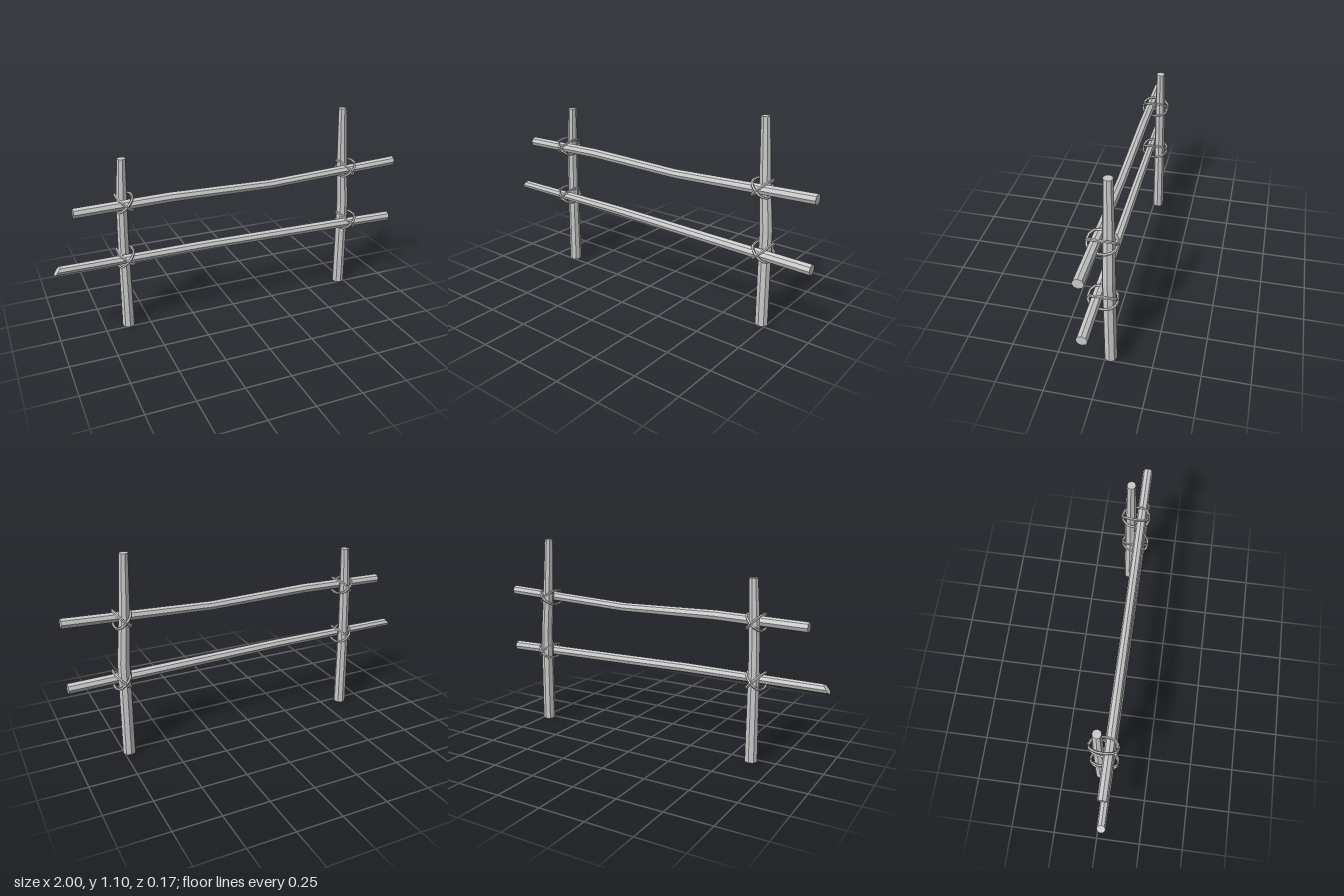
import * as THREE from 'three';

const SIDES = 8;
const wood = new THREE.MeshStandardMaterial({ color: 0xcccccc, flatShading: true, side: THREE.DoubleSide });

// A bent, tapering pole through sections [x, y, radius], either upright or lying along x.
// slant shears the first end of a lying pole into a sloping cut.
function pole(name, sections, z, upright, slant = 0) {
  const n = sections.length - 1;
  const geometry = new THREE.CylinderGeometry(1, 1, 1, SIDES, n);
  const pos = geometry.attributes.position;
  for (let i = 0; i < pos.count; i++) {
    const k = Math.round((pos.getY(i) + 0.5) * n);
    const [x, y, r] = sections[k];
    const a = pos.getX(i) * r;
    const b = pos.getZ(i) * r;
    if (upright) pos.setXYZ(i, x + a, y, z + b);
    else pos.setXYZ(i, x - (k === 0 ? a * slant : 0), y - a, z + b);
  }
  // Posts are open at the foot
  if (upright) geometry.setIndex([...geometry.index.array].slice(0, -3 * SIDES));
  geometry.computeVertexNormals();
  const mesh = new THREE.Mesh(geometry, wood);
  mesh.name = name;
  return mesh;
}

// Two diagonal rope loops crossing in front of the rail and behind the post
function lashing(name, x, y) {
  const group = new THREE.Group();
  group.name = name;
  const half = [[0.022, 0.075], [0.05, 0.052], [0.057, 0.015], [0.052, -0.035], [0.022, -0.069]];
  const outline = [...half, ...half.map(([u, z]) => [-u, z]).reverse()];
  for (const s of [1, -1]) {
    const points = outline.map(([u, z]) => new THREE.Vector3(u * Math.SQRT1_2, s * u * Math.SQRT1_2, z));
    const curve = new THREE.CatmullRomCurve3(points, true);
    const loop = new THREE.Mesh(new THREE.TubeGeometry(curve, 16, 0.007, 5, true), wood);
    loop.name = 'ropeLoop';
    group.add(loop);
  }
  group.position.set(x, y, 0);
  return group;
}

export function createModel() {
  const fence = new THREE.Group();
  fence.name = 'fence';

  // Posts
  fence.add(pole('rightPost', [
    [-0.62, 0, 0.035], [-0.618, 0.5, 0.031], [-0.612, 0.74, 0.03], [-0.6, 0.967, 0.024],
  ], -0.026, true));
  fence.add(pole('leftPost', [
    [0.722, 0, 0.035], [0.716, 0.53, 0.034], [0.696, 0.77, 0.031], [0.678, 1.1, 0.024],
  ], -0.026, true));

  // Rails
  fence.add(pole('upperRail', [
    [-0.875, 0.733, 0.028], [-0.37, 0.744, 0.028], [0.2, 0.733, 0.026], [1, 0.767, 0.028],
  ], 0.034, false));
  fence.add(pole('lowerRail', [
    [-0.982, 0.435, 0.024], [-0.2, 0.434, 0.027], [0.3, 0.425, 0.028], [1, 0.413, 0.029],
  ], 0.034, false, 0.75));

  // Lashings
  fence.add(lashing('upperRightLashing', -0.61, 0.741));
  fence.add(lashing('lowerRightLashing', -0.621, 0.435));
  fence.add(lashing('upperLeftLashing', 0.701, 0.755));
  fence.add(lashing('lowerLeftLashing', 0.724, 0.424));
  return fence;
}
